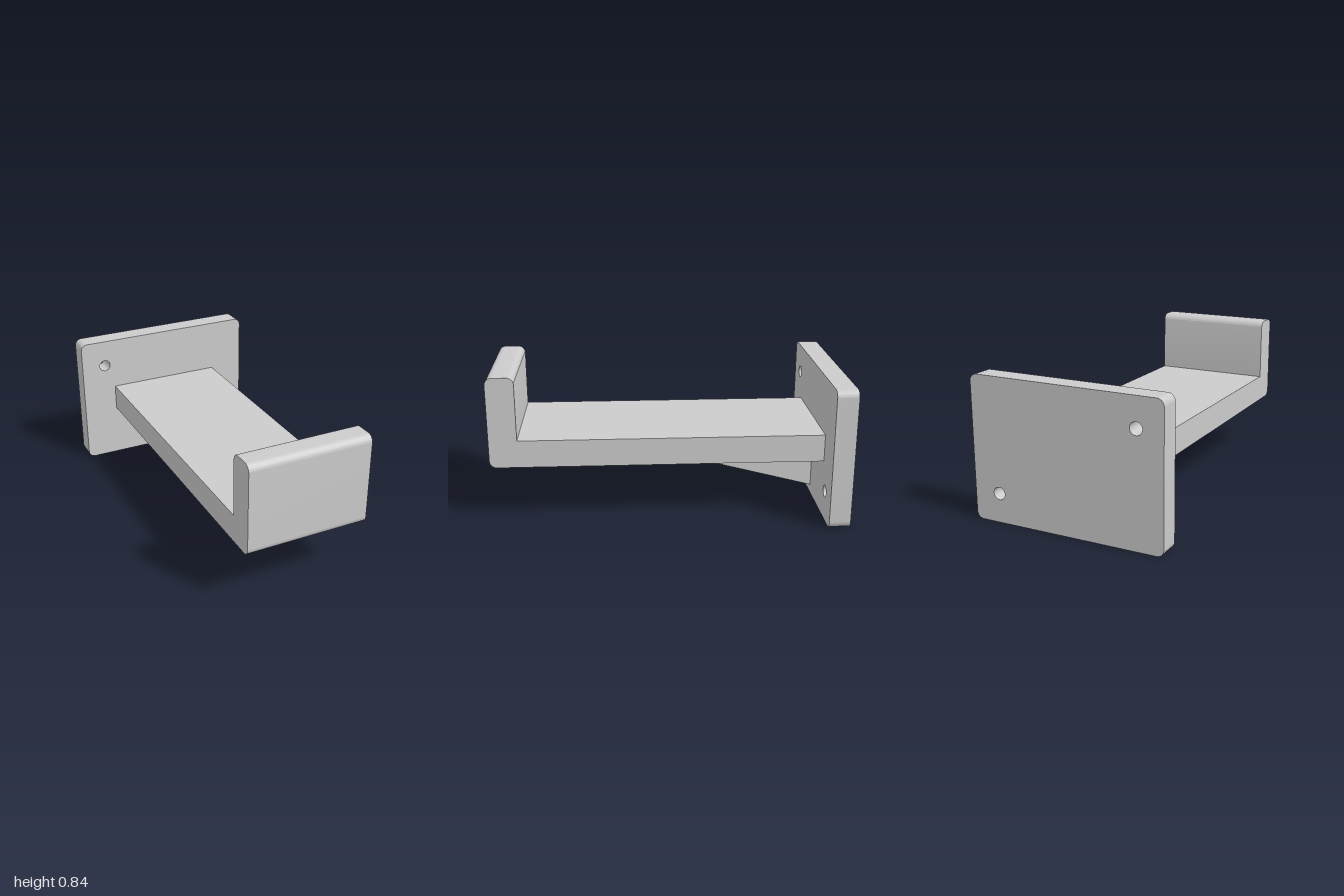
import * as THREE from 'three';
import { toCreasedNormals } from 'three/addons/utils/BufferGeometryUtils.js';

const material = new THREE.MeshStandardMaterial({ color: 0xcccccc });

// Closed outline from [x, y, cornerRadius] points
function roundedShape(points) {
  const shape = new THREE.Shape();
  const n = points.length;
  points.forEach(([x, y, r = 0], i) => {
    const corner = new THREE.Vector2(x, y);
    const toward = ([px, py]) =>
      new THREE.Vector2(px, py).sub(corner).setLength(r).add(corner);
    const a = toward(points[(i + n - 1) % n]);
    const b = toward(points[(i + 1) % n]);
    if (i === 0) shape.moveTo(a.x, a.y);
    else shape.lineTo(a.x, a.y);
    if (r > 0) {
      // Right-angled corner: centre of the arc completes the square
      const cx = a.x + b.x - x, cy = a.y + b.y - y;
      shape.absarc(cx, cy, r, Math.atan2(a.y - cy, a.x - cx), Math.atan2(b.y - cy, b.x - cx), false);
    }
  });
  shape.closePath();
  return shape;
}

function extrude(name, shape, depth) {
  const geometry = new THREE.ExtrudeGeometry(shape, { depth, bevelEnabled: false, curveSegments: 12 });
  geometry.translate(0, 0, -depth / 2);
  const mesh = new THREE.Mesh(toCreasedNormals(geometry, 0.5), material);
  mesh.name = name;
  return mesh;
}

// Side profile given as (z, y), extruded across x
function sideProfile(name, points, width) {
  const mesh = extrude(name, roundedShape(points), width);
  mesh.geometry.rotateY(-Math.PI / 2);
  return mesh;
}

export function createModel() {
  const group = new THREE.Group();
  group.name = 'wallBracket';

  // Wall plate with two diagonal screw holes
  const plateShape = roundedShape([
    [-0.56, 0, 0.04], [0.56, 0, 0.04], [0.56, 0.8, 0.04], [-0.56, 0.8, 0.04],
  ]);
  for (const [x, y] of [[-0.41, 0.636], [0.408, 0.164]]) {
    plateShape.holes.push(new THREE.Path().absarc(x, y, 0.035, 0, Math.PI * 2, true));
  }
  const plate = extrude('wallPlate', plateShape, 0.12);
  plate.position.z = -0.94;
  group.add(plate);

  // Arm with upturned front lip
  group.add(sideProfile('armWithLip', [
    [-0.88, 0.323], [1, 0.323, 0.04], [1, 0.842, 0.04],
    [0.842, 0.842, 0.04], [0.842, 0.48], [-0.88, 0.48],
  ], 0.7));

  // Triangular rib under the arm
  group.add(sideProfile('supportRib', [
    [-0.88, 0.048], [0.17, 0.323], [-0.88, 0.323],
  ], 0.082));

  return group;
}
